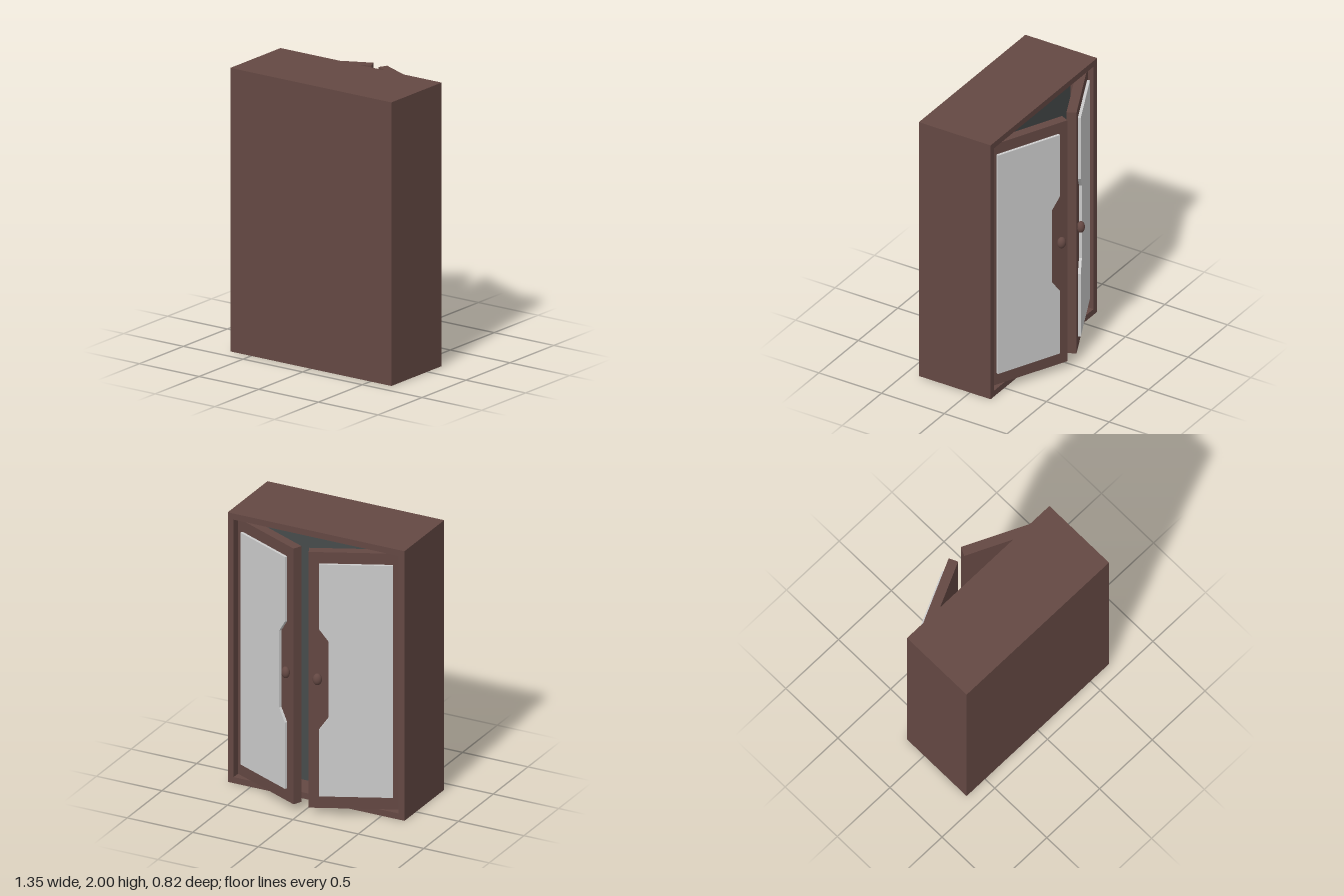
import * as THREE from 'three';

const wood = new THREE.MeshStandardMaterial({ color: 0x644843 });
const mirror = new THREE.MeshStandardMaterial({ color: 0xcccccc });
const lining = new THREE.MeshStandardMaterial({ color: 0x474b4b });

function add(parent, name, geometry, material, x = 0, y = 0, z = 0) {
  const mesh = new THREE.Mesh(geometry, material);
  mesh.name = name;
  mesh.position.set(x, y, z);
  parent.add(mesh);
  return mesh;
}

const rectangle = (Type, x0, y0, x1, y1) =>
  new Type([[x0, y0], [x1, y0], [x1, y1], [x0, y1]].map(p => new THREE.Vector2(...p)));

const extrude = (shape, depth) =>
  new THREE.ExtrudeGeometry(shape, { depth, bevelEnabled: false });

// Door with its outer free edge at the local origin; side is +1 or -1 in x
function createDoor(side) {
  const door = new THREE.Group();
  door.name = side > 0 ? 'leftDoor' : 'rightDoor';
  const width = 0.62, thickness = 0.068;
  add(door, 'doorLeaf', new THREE.BoxGeometry(width, 1.897, thickness), wood,
    side * width / 2, 1.0045, thickness / 2);

  // Raised mirror, cut away beside the knob
  const outline = [[0.57, 0.15], [0.57, 1.87], [0.071, 1.87], [0.071, 1.39],
    [0.135, 1.30], [0.135, 0.73], [0.071, 0.64], [0.071, 0.15]];
  const shape = new THREE.Shape(outline.map(([x, y]) => new THREE.Vector2(side * x, y)));
  add(door, 'mirrorPanel', extrude(shape, 0.03), mirror, 0, 0, -0.02);

  // Oval knob
  const knob = new THREE.SphereGeometry(1, 20, 14);
  knob.scale(0.032, 0.042, 0.028);
  add(door, 'knob', knob, wood, side * 0.06, 1.02, -0.022);

  door.position.set(side * 0.0575 - 0.003, 0, -0.387);
  door.rotation.y = -side * THREE.MathUtils.degToRad(25);
  return door;
}

export function createModel() {
  const model = new THREE.Group();
  model.name = 'cabinet';
  const halfWidth = 0.675, back = -0.165, front = 0.407, board = 0.045;

  // Surround with an opening towards the doors
  const surround = rectangle(THREE.Shape, -halfWidth, 0, halfWidth, 2);
  surround.holes.push(rectangle(THREE.Path,
    -halfWidth + board, board, halfWidth - board, 2 - board));
  add(model, 'carcass', extrude(surround, front - board - back), wood, 0, 0, back);

  // Closing board and the interior panel behind the doors
  add(model, 'closingBoard', new THREE.BoxGeometry(2 * halfWidth, 2, board), wood,
    0, 1, front - board / 2);
  add(model, 'interiorPanel',
    new THREE.BoxGeometry(2 * (halfWidth - board), 2 - 2 * board, 0.02), lining, 0, 1, 0.03);

  for (const side of [1, -1]) model.add(createDoor(side));
  return model;
}
